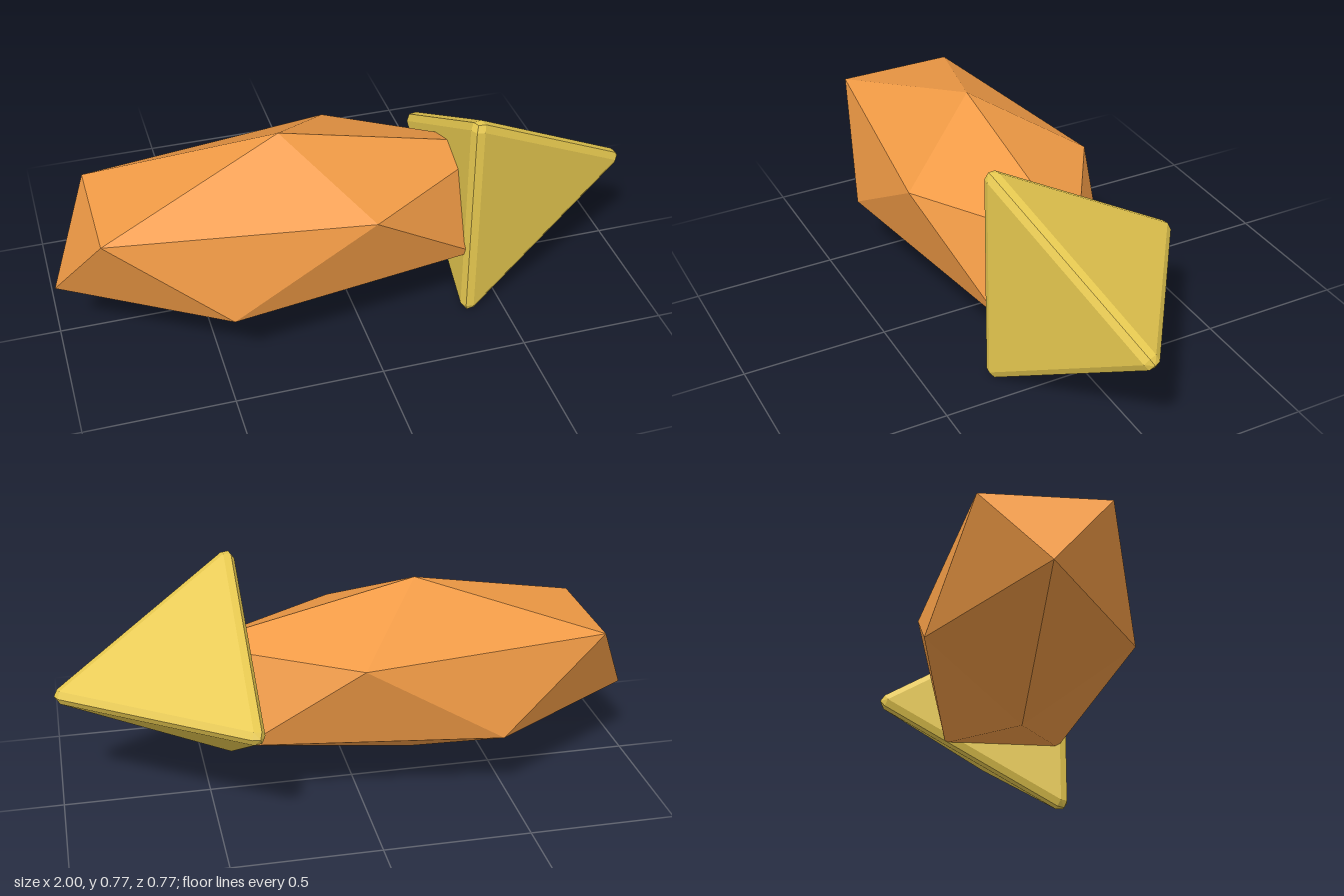
import * as THREE from 'three';
import { ConvexGeometry } from 'three/addons/geometries/ConvexGeometry.js';

const CENTRE_Y = 0.388, CENTRE_Z = 0.06;

const part = (name, points, color) => {
  const material = new THREE.MeshStandardMaterial({ color, flatShading: true });
  const mesh = new THREE.Mesh(new ConvexGeometry(points), material);
  mesh.name = name;
  return mesh;
};

// Icosahedron standing on a pole: two poles and two staggered rings of five
function icosahedronPoints() {
  const h = 1 / Math.sqrt(5), r = 2 * h;
  const points = [new THREE.Vector3(0, 1, 0), new THREE.Vector3(0, -1, 0)];
  for (let i = 0; i < 5; i++) {
    const a = (i * Math.PI * 2) / 5;
    points.push(new THREE.Vector3(r * Math.cos(a), h, r * Math.sin(a)));
    points.push(new THREE.Vector3(-r * Math.cos(a), -h, r * Math.sin(a)));
  }
  return points;
}

// Regular tetrahedron pointing along +x, edges bevelled in two steps.
// radius: inner base circumradius, bevel: rounding radius
function bevelledTetrahedronPoints(radius, bevel) {
  const dirs = [new THREE.Vector3(1, 0, 0)];
  for (let i = 0; i < 3; i++) {
    const a = Math.PI + (i * Math.PI * 2) / 3;
    const s = Math.sqrt(8) / 3;
    dirs.push(new THREE.Vector3(-1 / 3, s * Math.sin(a), s * Math.cos(a)));
  }
  const size = (radius * 3) / Math.sqrt(8);
  const points = [];
  dirs.forEach((dir, k) => {
    const corner = dir.clone().multiplyScalar(size);
    const n = dirs.filter((_, j) => j !== k).map((d) => d.clone().negate());
    // face normals, edge directions and the corner direction itself
    const offsets = [...n, dir.clone()];
    for (let i = 0; i < 3; i++) offsets.push(n[i].clone().add(n[(i + 1) % 3]).normalize());
    offsets.forEach((o) => points.push(corner.clone().addScaledVector(o, bevel)));
  });
  return points;
}

export function createModel() {
  const group = new THREE.Group();
  group.name = 'facetedArrow';

  // Long faceted body
  const body = part('body', icosahedronPoints(), 0xf09a45);
  body.scale.set(0.861, 0.326, 0.347 * Math.sqrt(5) / 2);
  body.position.set(-0.23, CENTRE_Y, CENTRE_Z);
  group.add(body);

  // Pyramid head at the +x end
  const head = part('head', bevelledTetrahedronPoints(0.416, 0.029), 0xe6c84f);
  head.position.set(0.53, CENTRE_Y, CENTRE_Z);
  group.add(head);

  return group;
}
